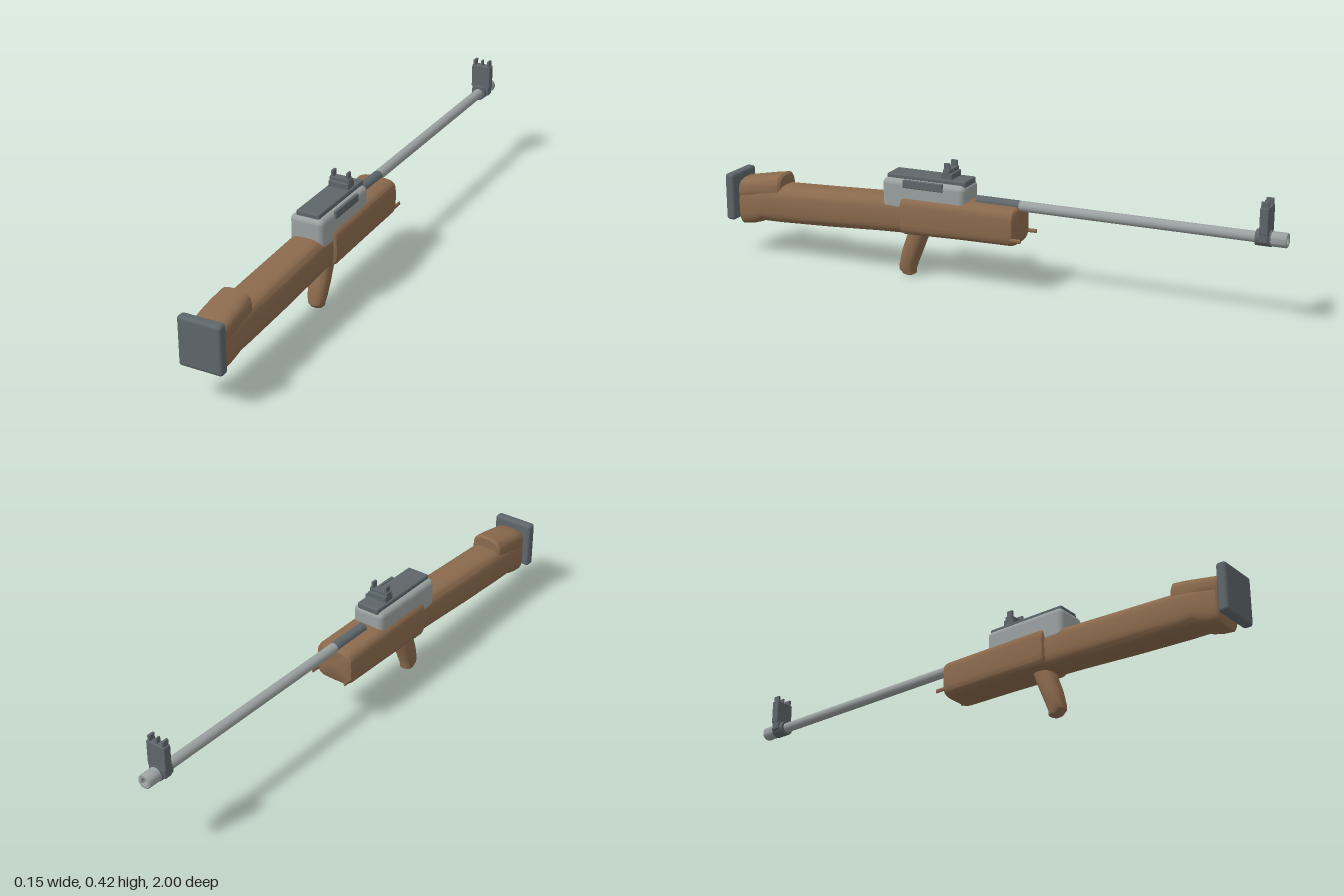
import * as THREE from 'three';
import { toCreasedNormals } from 'three/addons/utils/BufferGeometryUtils.js';
import { RoundedBoxGeometry } from 'three/addons/geometries/RoundedBoxGeometry.js';

// Closed body along z from stations [z, bottom, top, halfWidth]; n sets how square the section is
function loft(stations, n, seg = 32) {
  const pos = [], index = [];
  const power = (v) => Math.sign(v) * Math.pow(Math.abs(v), 2 / n);
  for (const [z, lo, hi, w] of stations) {
    for (let j = 0; j < seg; j++) {
      const a = (j / seg) * Math.PI * 2;
      pos.push(w * power(Math.cos(a)), (lo + hi) / 2 + ((hi - lo) / 2) * power(Math.sin(a)), z);
    }
  }
  const last = stations.length - 1;
  for (let i = 0; i < last; i++) {
    for (let j = 0; j < seg; j++) {
      const a = i * seg + j, b = i * seg + ((j + 1) % seg);
      index.push(a, b, a + seg, b, b + seg, a + seg);
    }
  }
  for (const i of [0, last]) {
    const [z, lo, hi] = stations[i];
    const c = pos.length / 3;
    pos.push(0, (lo + hi) / 2, z);
    for (let j = 0; j < seg; j++) {
      const a = i * seg + j, b = i * seg + ((j + 1) % seg);
      if (i === 0) index.push(c, b, a);
      else index.push(c, a, b);
    }
  }
  const g = new THREE.BufferGeometry();
  g.setAttribute('position', new THREE.Float32BufferAttribute(pos, 3));
  g.setIndex(index);
  return toCreasedNormals(g, 0.6);
}

export function createModel() {
  const root = new THREE.Group();
  const wood = new THREE.MeshStandardMaterial({ name: 'wood', color: 0x8b6a4d });
  const steel = new THREE.MeshStandardMaterial({ name: 'pale steel', color: 0x9aa1a0 });
  const dark = new THREE.MeshStandardMaterial({ name: 'dark steel', color: 0x5d666a });

  const add = (name, geometry, material, x = 0, y = 0, z = 0, parent = root) => {
    const m = new THREE.Mesh(geometry, material);
    m.name = name;
    m.position.set(x, y, z);
    parent.add(m);
    return m;
  };
  // Box given by its limits, with softened edges
  const block = (name, material, [x0, x1], [y0, y1], [z0, z1], r = 0.002, parent = root) =>
    add(name, new RoundedBoxGeometry(x1 - x0, y1 - y0, z1 - z0, 3, r), material,
      (x0 + x1) / 2, (y0 + y1) / 2, (z0 + z1) / 2, parent);
  // Round part along z, radius r, optionally hollow
  const rod = (name, material, r, z0, z1, x, y, parent = root) => {
    const g = new THREE.CylinderGeometry(r, r, z1 - z0, 24);
    g.rotateX(Math.PI / 2);
    return add(name, g, material, x, y, (z0 + z1) / 2, parent);
  };

  // Wooden stock and butt
  add('stock', loft([
    [0.26, 0.157, 0.285, 0.06],
    [0.4, 0.152, 0.281, 0.063],
    [0.6, 0.14, 0.272, 0.064],
    [0.8, 0.131, 0.264, 0.064],
    [0.865, 0.13, 0.26, 0.064],
    [0.885, 0.122, 0.258, 0.063],
    [0.915, 0.113, 0.256, 0.061],
    [0.95, 0.108, 0.255, 0.059],
    [0.956, 0.113, 0.25, 0.054],
  ], 3.4), wood);
  add('cheekRest', loft([
    [0.79, 0.2, 0.298, 0.05],
    [0.798, 0.2, 0.305, 0.057],
    [0.85, 0.2, 0.296, 0.06],
    [0.9, 0.2, 0.286, 0.06],
    [0.95, 0.19, 0.277, 0.058],
    [0.956, 0.19, 0.272, 0.054],
  ], 3), wood);
  block('buttPlate', dark, [-0.075, 0.075], [0.129, 0.296], [0.965, 1], 0.011);

  // Fore-end
  add('foreEnd', loft([
    [-0.104, 0.177, 0.284, 0.058],
    [-0.098, 0.168, 0.291, 0.069],
    [-0.085, 0.166, 0.294, 0.072],
    [0.1, 0.163, 0.294, 0.073],
    [0.3, 0.157, 0.294, 0.073],
    [0.311, 0.16, 0.291, 0.07],
    [0.316, 0.17, 0.282, 0.062],
  ], 4.6, 48), wood);
  for (const s of [-1, 1]) {
    const pin = rod('foreEndPin', wood, 0.007, -0.13, -0.07, s * 0.066, 0.193);
    pin.scale.x = 0.55;
  }

  // Raked grip, lofted along its height
  const grip = loft([
    [0.001, -0.325, -0.3, 0.014],
    [0.006, -0.335, -0.29, 0.022],
    [0.02, -0.348, -0.29, 0.026],
    [0.04, -0.346, -0.284, 0.031],
    [0.09, -0.334, -0.264, 0.035],
    [0.135, -0.318, -0.246, 0.036],
    [0.19, -0.3, -0.225, 0.036],
  ], 2.4);
  grip.rotateX(-Math.PI / 2);
  add('grip', grip, wood);

  // Receiver with top cover and side handle
  block('receiver', steel, [-0.06, 0.06], [0.24, 0.35], [0.078, 0.384], 0.02);
  block('topCover', dark, [-0.042, 0.042], [0.342, 0.364], [0.08, 0.372], 0.006);
  block('sideHandle', dark, [0.054, 0.065], [0.324, 0.352], [0.155, 0.302], 0.003);

  // Barrel, with a dark breech sleeve
  const axis = 0.294;
  rod('barrel', steel, 0.0175, -0.955, -0.1, 0, axis);
  rod('breechSleeve', dark, 0.018, -0.1, 0.055, 0, axis);
  const muzzle = new THREE.LatheGeometry([
    [0.012, -0.03], [0.012, 0.028], [0.014, 0.03], [0.022, 0.03], [0.024, 0.027], [0.024, -0.03], [0.012, -0.03],
  ].map(([r, y]) => new THREE.Vector2(r, y)).reverse(), 24);
  muzzle.rotateX(-Math.PI / 2);
  const muzzleMaterial = steel.clone();
  muzzleMaterial.side = THREE.DoubleSide;
  add('muzzle', toCreasedNormals(muzzle, 0.6), muzzleMaterial, 0, axis, -0.97);

  // Front sight on its collar
  const front = new THREE.Group();
  front.name = 'frontSight';
  root.add(front);
  rod('sightCollar', dark, 0.026, -0.95, -0.9, 0, axis, front);
  block('sightClamp', dark, [-0.034, 0.034], [0.284, 0.318], [-0.945, -0.915], 0.006, front);
  block('sightBlock', dark, [-0.036, 0.036], [0.312, 0.397], [-0.944, -0.916], 0.003, front);
  block('sightPost', dark, [-0.003, 0.003], [0.39, 0.416], [-0.938, -0.922], 0.001, front);

  // Rear sight on the cover
  const rear = new THREE.Group();
  rear.name = 'rearSight';
  root.add(rear);
  block('sightBase', dark, [-0.036, 0.036], [0.36, 0.384], [0.132, 0.173], 0.003, rear);
  block('sightLeaf', dark, [-0.036, 0.036], [0.378, 0.396], [0.14, 0.166], 0.002, rear);

  // Guard ears on both sights
  for (const s of [-1, 1]) {
    const x = [s * 0.027 - 0.0045, s * 0.027 + 0.0045];
    block('sightEar', dark, x, [0.39, 0.417], [-0.942, -0.918], 0.002, front);
    block('sightEar', dark, x, [0.39, 0.417], [0.142, 0.164], 0.002, rear);
  }

  return root;
}
